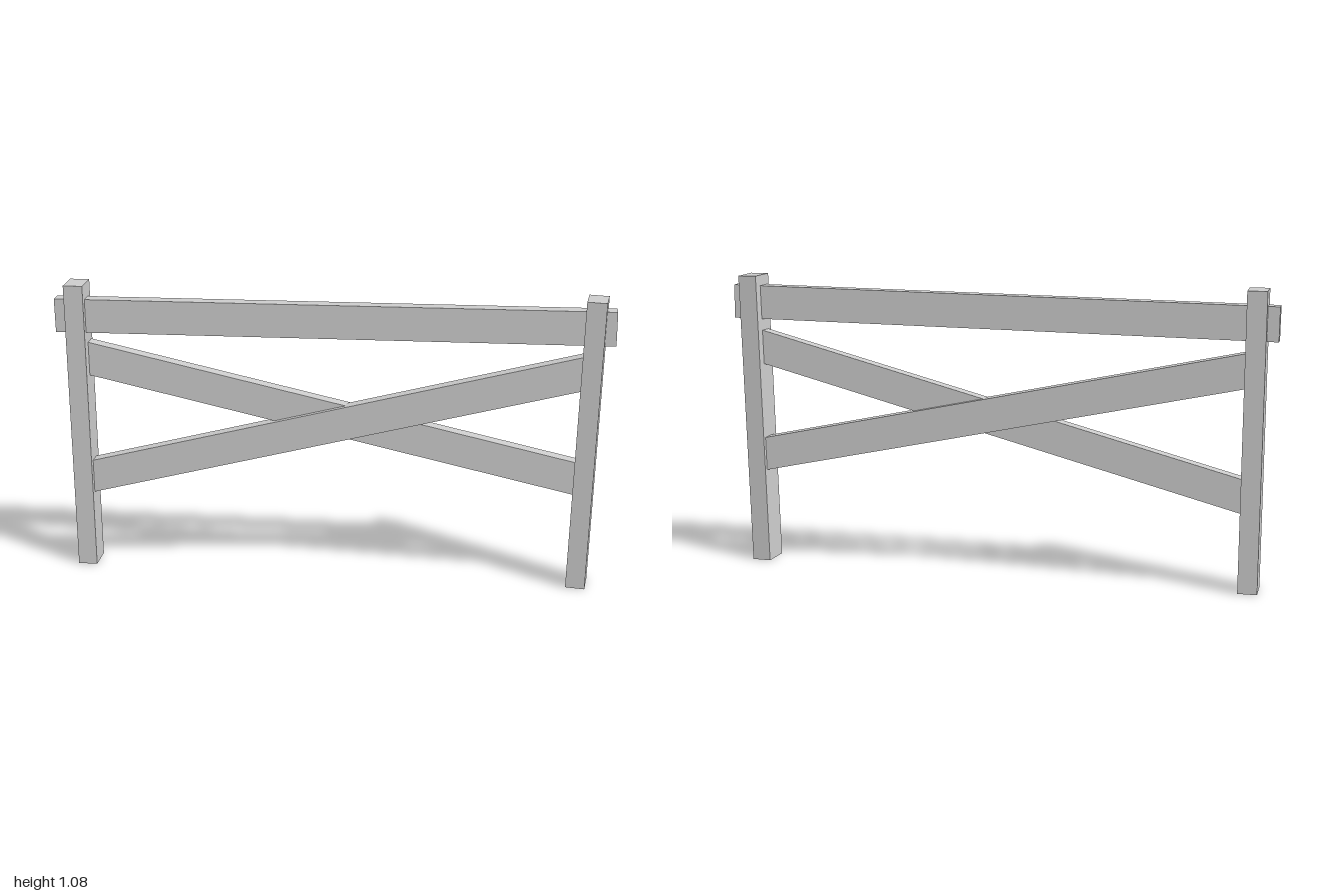
import * as THREE from 'three';

const wood = new THREE.MeshStandardMaterial({ color: 0xcccccc, flatShading: true, side: THREE.DoubleSide });

// Upright standing on the ground, open underneath, slightly leaning and twisted
function post(name, footX, topX, twist) {
  const h = 1.081;
  const geo = new THREE.BoxGeometry(0.07, h, 0.101);
  // drop the bottom face
  geo.setIndex(Array.from(geo.index.array).filter((_, i) => i < 18 || i >= 24));
  geo.clearGroups();
  geo.translate(0, h / 2, 0);
  geo.rotateY(twist);
  geo.rotateZ(-Math.atan2(topX - footX, h));
  const mesh = new THREE.Mesh(geo, wood);
  mesh.name = name;
  mesh.position.set(footX, 0, 0.002);
  return mesh;
}

// Plank whose centre line runs from (x0, y0) to (x1, y1)
function plank(name, x0, y0, x1, y1, width, thickness, z) {
  const length = Math.hypot(x1 - x0, y1 - y0);
  const mesh = new THREE.Mesh(new THREE.BoxGeometry(length, width, thickness), wood);
  mesh.name = name;
  mesh.position.set((x0 + x1) / 2, (y0 + y1) / 2, z);
  mesh.rotation.z = Math.atan2(y1 - y0, x1 - x0);
  return mesh;
}

export function createModel() {
  const fence = new THREE.Group();
  fence.name = 'fence';
  fence.add(
    post('rightPost', -0.921, -0.923, 0),
    post('leftPost', 0.907, 0.931, -0.1),
    // top rail pokes out through both posts
    plank('topRail', -0.9995, 0.964, 0.9995, 0.982, 0.123, 0.049, 0.006),
    // crossed braces, ending inside the posts
    plank('frontBrace', -0.91, 0.342, 0.91, 0.819, 0.121, 0.049, 0.006),
    plank('backBrace', -0.91, 0.804, 0.91, 0.407, 0.122, 0.049, -0.013),
  );
  return fence;
}
